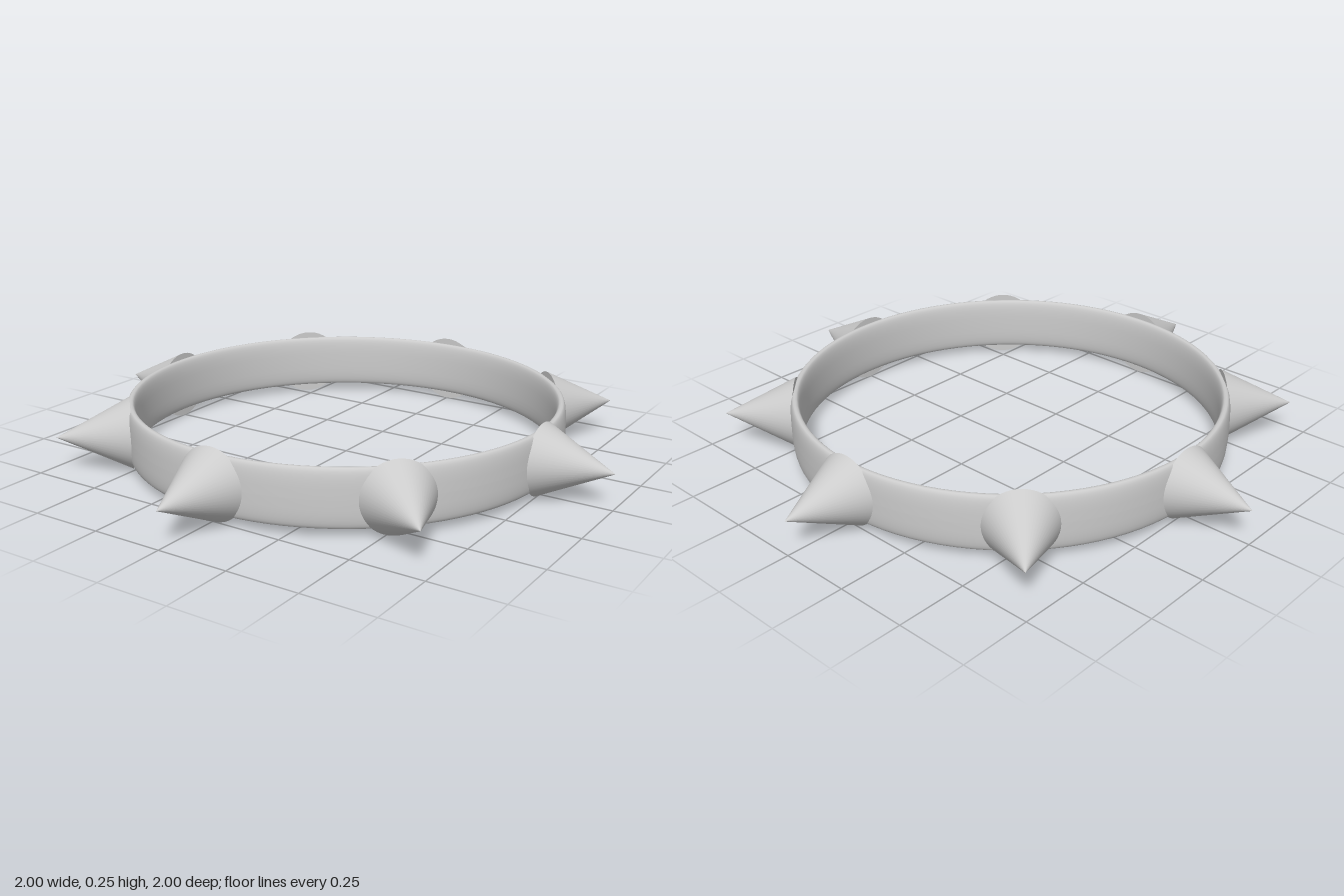
import * as THREE from 'three';

const CENTER_Y = 0.123;      // height of the ring's middle plane
const SPIKE_RADIUS = 0.123;
const SPIKE_BASE = 0.75;     // distance of the spike base from the axis
const SPIKE_COUNT = 8;

export function createModel() {
  const group = new THREE.Group();
  const material = new THREE.MeshStandardMaterial({ color: 0xcccccc });

  // Thin band: a tall, softly squared oval section swept around the axis
  const section = [];
  const steps = 32;
  const soften = (v) => Math.sign(v) * Math.pow(Math.abs(v), 0.7);
  for (let i = 0; i <= steps; i++) {
    const a = ((i % steps) / steps) * Math.PI * 2;
    section.push(new THREE.Vector2(0.746 + 0.019 * soften(Math.cos(a)), 0.098 * soften(Math.sin(a))));
  }
  const band = new THREE.Mesh(new THREE.LatheGeometry(section, 96), material);
  band.name = 'band';
  band.position.y = CENTER_Y + 0.003;
  group.add(band);

  // Cones pointing outward, evenly spaced around the band
  const length = 1 - SPIKE_BASE;
  const cone = new THREE.ConeGeometry(SPIKE_RADIUS, length, 48);
  cone.rotateX(Math.PI / 2);
  cone.translate(0, 0, SPIKE_BASE + length / 2);
  for (let i = 0; i < SPIKE_COUNT; i++) {
    const spike = new THREE.Mesh(cone, material);
    spike.name = 'spike' + (i + 1);
    spike.position.y = CENTER_Y;
    spike.rotation.y = (i / SPIKE_COUNT) * Math.PI * 2;
    group.add(spike);
  }
  return group;
}
